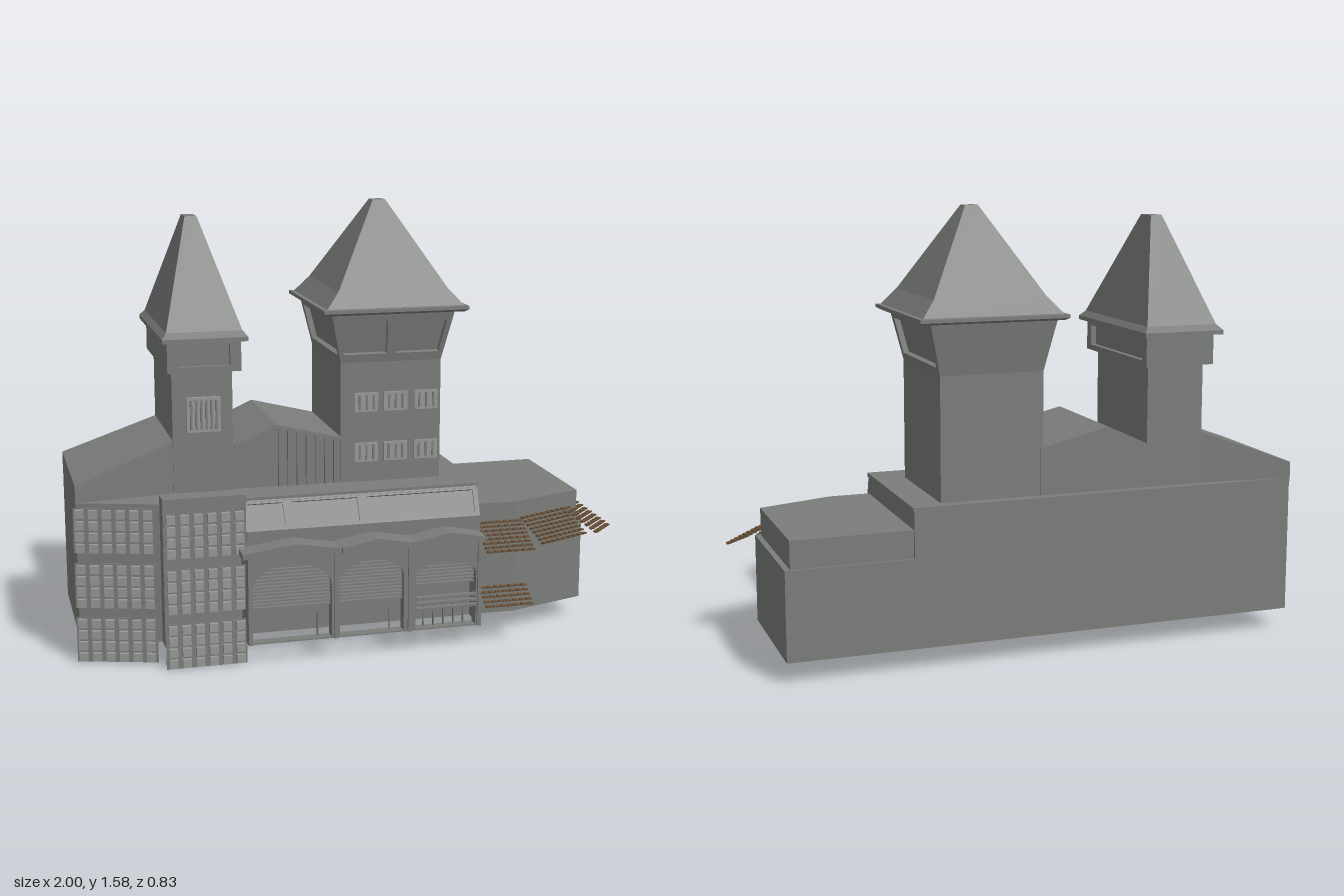
import * as THREE from 'three';

const stone = color => new THREE.MeshStandardMaterial({ color, flatShading: true, side: THREE.DoubleSide });
const grey = stone(0x7a7d7a);
const pale = stone(0x969996);
const wood = new THREE.MeshStandardMaterial({ color: 0x6a523a, flatShading: true });
const V = (x, y, z) => new THREE.Vector3(x, y, z);

export function createModel() {
  const root = new THREE.Group();

  function add(name, geo, mat = grey, parent = root) {
    const m = new THREE.Mesh(geo, mat);
    m.name = name;
    parent.add(m);
    return m;
  }
  // Box given by its limits
  function box(name, x0, x1, y0, y1, z0, z1, mat, parent) {
    const m = add(name, new THREE.BoxGeometry(x1 - x0, y1 - y0, z1 - z0), mat, parent);
    m.position.set((x0 + x1) / 2, (y0 + y1) / 2, (z0 + z1) / 2);
  }
  // Geometry from a list of four-cornered faces, counter-clockwise from outside
  function quads(list) {
    const p = [];
    for (const [a, b, c, d] of list) for (const v of [a, b, c, a, c, d]) p.push(v.x, v.y, v.z);
    const g = new THREE.BufferGeometry();
    g.setAttribute('position', new THREE.Float32BufferAttribute(p, 3));
    g.computeVertexNormals();
    return g;
  }
  const ring = ([y, x0, x1, z0, z1]) => [V(x0, y, z1), V(x1, y, z1), V(x1, y, z0), V(x0, y, z0)];
  // Stack of rectangles [y, x0, x1, z0, z1]; skip lists open sides (0 front, 1 +x, 2 back, 3 -x)
  function loft(name, rects, skip = []) {
    const rs = rects.map(ring), faces = [];
    for (let i = 0; i + 1 < rs.length; i++)
      for (let s = 0; s < 4; s++) {
        const t = (s + 1) % 4;
        if (!skip.includes(s)) faces.push([rs[i][s], rs[i][t], rs[i + 1][t], rs[i + 1][s]]);
      }
    faces.push(rs[rs.length - 1], [...rs[0]].reverse());
    add(name, quads(faces));
    return rs;
  }
  // Framed panel sunk into a four-cornered face
  function panel(name, [a, b, c, d], mu, mv, depth) {
    const at = (u, v) => a.clone().lerp(b, u).lerp(d.clone().lerp(c, u), v);
    const n = b.clone().sub(a).cross(d.clone().sub(a)).normalize().multiplyScalar(-depth);
    const o = [a, b, c, d];
    const q = [at(mu, mv), at(1 - mu, mv), at(1 - mu, 1 - mv), at(mu, 1 - mv)];
    const r = q.map(v => v.clone().add(n));
    const faces = [r];
    for (let i = 0; i < 4; i++) {
      const j = (i + 1) % 4;
      faces.push([o[i], o[j], q[j], q[i]], [q[i], q[j], r[j], r[i]]);
    }
    add(name, quads(faces));
  }
  // Footprint of [x, z] points raised from y0 to y1
  function prism(name, pts, y0, y1) {
    const s = new THREE.Shape(pts.map(([x, z]) => new THREE.Vector2(x, -z)));
    const g = new THREE.ExtrudeGeometry(s, { depth: y1 - y0, bevelEnabled: false });
    add(name, g.rotateX(-Math.PI / 2).translate(0, y0, 0));
  }
  // Outline of [x, y] points pushed from z0 to z1
  function slab(name, pts, z0, z1, holes = []) {
    const s = new THREE.Shape(pts.map(p => new THREE.Vector2(...p)));
    s.holes = holes.map(h => new THREE.Path(h.map(p => new THREE.Vector2(...p))));
    add(name, new THREE.ExtrudeGeometry(s, { depth: z1 - z0, bevelEnabled: false }).translate(0, 0, z0));
  }

  // Main hall and right wing
  prism('mainHall', [[-0.99, -0.37], [0.45, -0.37], [0.45, 0.24], [-0.71, 0.24], [-0.99, 0.15]], 0.08, 0.565);
  prism('hallRoofSlab', [[-0.99, -0.375], [0.455, -0.375], [0.455, 0.235], [-0.42, 0.235], [-0.42, 0.31],
    [-0.71, 0.31], [-0.71, 0.24], [-0.99, 0.155]], 0.565, 0.58);
  prism('rightWing', [[0.43, -0.37], [0.9, -0.37], [0.9, 0.145], [0.6, 0.24], [0.43, 0.24]], 0.08, 0.4);
  prism('rightWingTop', [[0.44, -0.36], [0.88, -0.36], [0.88, 0.14], [0.6, 0.235], [0.44, 0.235]], 0.4, 0.5);
  box('parapet', -0.71, -0.42, 0.58, 0.615, 0.24, 0.315);
  for (const x of [-0.71, -0.424]) box('claddingReturn', x, x + 0.004, 0.08, 0.57, 0.24, 0.31);

  // Left wing sloping roof, narrowing towards the tower
  const lo = [V(-0.99, 0.58, 0.155), V(-0.64, 0.58, 0.108), V(-0.64, 0.58, -0.338), V(-0.99, 0.58, -0.375)];
  const hi = lo.map((v, i) => V(v.x, i === 1 || i === 2 ? 0.77 : 0.64, v.z));
  add('leftWingRoof', quads([hi, ...lo.map((v, i) => [v, lo[(i + 1) % 4], hi[(i + 1) % 4], hi[i]])]));

  // Gable between the towers, with upright battens
  const gableY = x => x < -0.27 ? 0.81 + (x + 0.27) * 0.45 : 0.81 - (x + 0.27) * 0.25;
  slab('middleGable', [[-0.43, 0.58], [-0.02, 0.58], [-0.02, 0.748], [-0.27, 0.81], [-0.43, 0.738]], -0.34, 0.1);
  slab('gableEdge', [[-0.42, 0.73], [-0.27, 0.798], [-0.03, 0.738], [-0.03, 0.75], [-0.27, 0.81], [-0.42, 0.742]], 0.1, 0.115);
  for (let i = 0; i < 7; i++) {
    const x = -0.26 + i * 0.034;
    box('gableBatten', x, x + 0.012, 0.58, gableY(x) - 0.014, 0.1, 0.112);
  }

  // Right tower: shaft, flared head and roof
  box('rightTowerShaft', -0.03, 0.345, 0.5, 1.02, -0.335, 0.11);
  const [h0, h1] = loft('rightTowerHead', [[1.02, -0.03, 0.345, -0.335, 0.11], [1.2, -0.07, 0.385, -0.365, 0.145]], [0, 1, 3]);
  const [m0, m1] = [h0, h1].map(h => h[0].clone().lerp(h[1], 0.5));
  panel('rightTowerWindow', [h0[0], m0, m1, h1[0]], 0.09, 0.17, 0.02);
  panel('rightTowerWindow', [m0, h0[1], h1[1], m1], 0.09, 0.17, 0.02);
  panel('rightTowerSideWindow', [h0[1], h0[2], h1[2], h1[1]], 0.06, 0.15, 0.02);
  panel('rightTowerSideWindow', [h0[3], h0[0], h1[0], h1[3]], 0.06, 0.15, 0.02);
  loft('rightTowerRoof', [[1.2, -0.09, 0.415, -0.38, 0.165], [1.208, -0.105, 0.43, -0.395, 0.175],
    [1.22, -0.105, 0.43, -0.395, 0.175], [1.222, -0.09, 0.415, -0.375, 0.157],
    [1.28, -0.04, 0.365, -0.335, 0.12], [1.585, 0.14, 0.187, -0.135, -0.083]]);
  for (const y of [0.655, 0.84]) for (const x of [0.02, 0.13, 0.245]) {
    box('towerWindow', x, x + 0.088, y, y + 0.07, 0.1, 0.118, pale);
    for (let i = 0; i < 3; i++) box('windowBar', x + 0.014 + i * 0.026, x + 0.022 + i * 0.026, y + 0.008, y + 0.062, 0.115, 0.122);
  }

  // Left tower: shaft, boxed head and roof
  box('leftTowerShaft', -0.64, -0.425, 0.56, 1.02, -0.34, 0.112);
  const [g0, g1] = loft('leftTowerHead', [[1.02, -0.66, -0.4, -0.38, 0.16], [1.135, -0.66, -0.4, -0.38, 0.16]], [0, 1]);
  panel('leftTowerWindow', [g0[0], g0[1], g1[1], g1[0]], 0.15, 0.18, 0.02);
  panel('leftTowerSideWindow', [g0[1], g0[2], g1[2], g1[1]], 0.07, 0.18, 0.02);
  loft('leftTowerRoof', [[1.13, -0.68, -0.38, -0.415, 0.195], [1.145, -0.68, -0.38, -0.415, 0.195],
    [1.165, -0.663, -0.397, -0.39, 0.17], [1.54, -0.553, -0.51, -0.16, -0.075]]);
  box('leftTowerVent', -0.59, -0.47, 0.8, 0.925, 0.105, 0.124, pale);
  for (let i = 0; i < 6; i++) box('ventBar', -0.579 + i * 0.018, -0.571 + i * 0.018, 0.81, 0.915, 0.12, 0.13);

  // Slanted band of skylights under the hall roof
  const [s0, s1] = loft('skylightBand', [[0.48, -0.42, 0.435, 0.2, 0.315], [0.57, -0.42, 0.45, 0.2, 0.235]], [0]);
  const cuts = [0, 0.187, 0.5, 1];
  for (let i = 0; i < 3; i++) {
    const [a, b] = [cuts[i], cuts[i + 1]];
    const on = (r, t) => r[0].clone().lerp(r[1], t);
    panel('skylight', [on(s0, a), on(s0, b), on(s1, b), on(s1, a)], 0.021 / (b - a), 0.12, 0.006);
  }
  box('bandBase', -0.42, 0.435, 0.4, 0.48, 0.24, 0.315);

  // Free-standing arched front with louvres in each opening
  const arches = [[-0.41, -0.125, 0.28, 0.365], [-0.095, 0.14, 0.29, 0.36], [0.185, 0.41, 0.28, 0.33]];
  const outlines = arches.map(([x0, x1, ys, yt]) => {
    const pts = [[x0, 0.085], [x1, 0.085]];
    for (let i = 0; i <= 14; i++) {
      const t = Math.PI * i / 14;
      pts.push([(x0 + x1) / 2 + Math.cos(t) * (x1 - x0) / 2, ys + Math.sin(t) * (yt - ys)]);
    }
    return pts;
  });
  slab('archedFront', [[-0.425, 0.08], [0.43, 0.08], [0.43, 0.42], [-0.425, 0.42]], 0.315, 0.355, outlines);
  box('archSideWall', 0.426, 0.43, 0.08, 0.42, 0.24, 0.315);
  arches.forEach(([x0, x1, ys, yt], k) => {
    const c = (x0 + x1) / 2, r = (x1 - x0) / 2;
    for (let y = k === 2 ? 0.24 : 0.2; y < yt - 0.006; y += 0.0125) {
      const w = y < ys ? r : r * Math.sqrt(1 - ((y - ys) / (yt - ys)) ** 2);
      box('louvre', c - w, c + w, y, y + 0.006, 0.318, 0.335);
    }
    if (k === 2) for (let i = 0; i < 3; i++) box('counterRail', x0, x1, 0.155 + i * 0.02, 0.163 + i * 0.02, 0.34, 0.36);
    const n = k === 2 ? 5 : 1;
    for (let i = 1; i <= n; i++) {
      const x = k === 2 ? x0 + r * i / 3 : x1 - 0.045;
      box('doorPost', x - 0.002, x + 0.002, 0.08, 0.17, 0.32, 0.33);
    }
  });
  for (const x of [-0.425, -0.117, 0.155, 0.415]) box('frontPillar', x, x + 0.015, 0.08, 0.4, 0.35, 0.362);

  // Zigzag canopy over the arches
  const zig = [[-0.45, 0.405], [-0.26, 0.43], [-0.115, 0.405], [0.03, 0.43], [0.17, 0.405], [0.3, 0.43], [0.43, 0.405]];
  slab('zigzagCanopy', [...zig, ...zig.map(([x, y]) => [x, y + 0.02]).reverse()], 0.31, 0.4);
  slab('canopyCentre', [[-0.1, 0.408], [0.03, 0.43], [0.155, 0.408], [0.155, 0.428], [0.03, 0.452], [-0.1, 0.428]], 0.4, 0.415);

  // Studded cladding in three tiers, hung from the left corner
  function cladding(x0, z0, x1, z1) {
    const g = new THREE.Group(), len = Math.hypot(x1 - x0, z1 - z0), cols = 6, rows = 4, pitch = len / cols;
    g.name = 'studdedCladding';
    g.position.set(x0, 0, z0);
    g.rotation.y = Math.atan2(z0 - z1, x1 - x0);
    for (const y0 of [0.002, 0.2, 0.4]) {
      box('claddingSheet', 0, len, y0, y0 + rows * 0.041, 0, 0.003, grey, g);
      for (let r = 0; r < rows; r++) for (let c = 0; c < cols; c++) {
        const x = (c + 0.18) * pitch, y = y0 + 0.006 + r * 0.041;
        box('stud', x, x + pitch * 0.64, y, y + 0.03, -0.003, 0.018, pale, g);
      }
    }
    root.add(g);
  }
  cladding(-1.0, 0.153, -0.725, 0.235);
  cladding(-0.708, 0.312, -0.422, 0.312);

  // Wooden slatted awnings, stepping down away from the wall
  function awning(x0, z0, x1, z1, yTop, drop, depth, rows) {
    const g = new THREE.Group(), len = Math.hypot(x1 - x0, z1 - z0), n = Math.round(len / 0.025);
    g.name = 'slattedAwning';
    g.position.set(x0, yTop, z0);
    g.rotation.y = Math.atan2(z0 - z1, x1 - x0);
    for (let r = 0; r < rows; r++) {
      const y = -drop * (r + 1) / rows, z = depth * r / rows, d = depth / rows;
      box('awningSlat', 0, len, y, y + 0.003, z + d * 0.35, z + d * 0.65, wood, g);
      for (let i = 0; i < n; i++) {
        const x = (i + 0.15) * len / n;
        box('awningBatten', x, x + len / n * 0.7, y + 0.002, y + 0.007, z, z + d * 1.02, wood, g);
      }
    }
    root.add(g);
  }
  awning(0.435, 0.25, 0.62, 0.25, 0.44, 0.08, 0.15, 8);
  awning(0.615, 0.245, 0.825, 0.155, 0.445, 0.08, 0.125, 8);
  awning(0.81, 0.17, 0.9, 0.08, 0.445, 0.08, 0.145, 8);
  awning(0.435, 0.31, 0.62, 0.31, 0.215, 0.06, 0.09, 5);

  return root;
}
